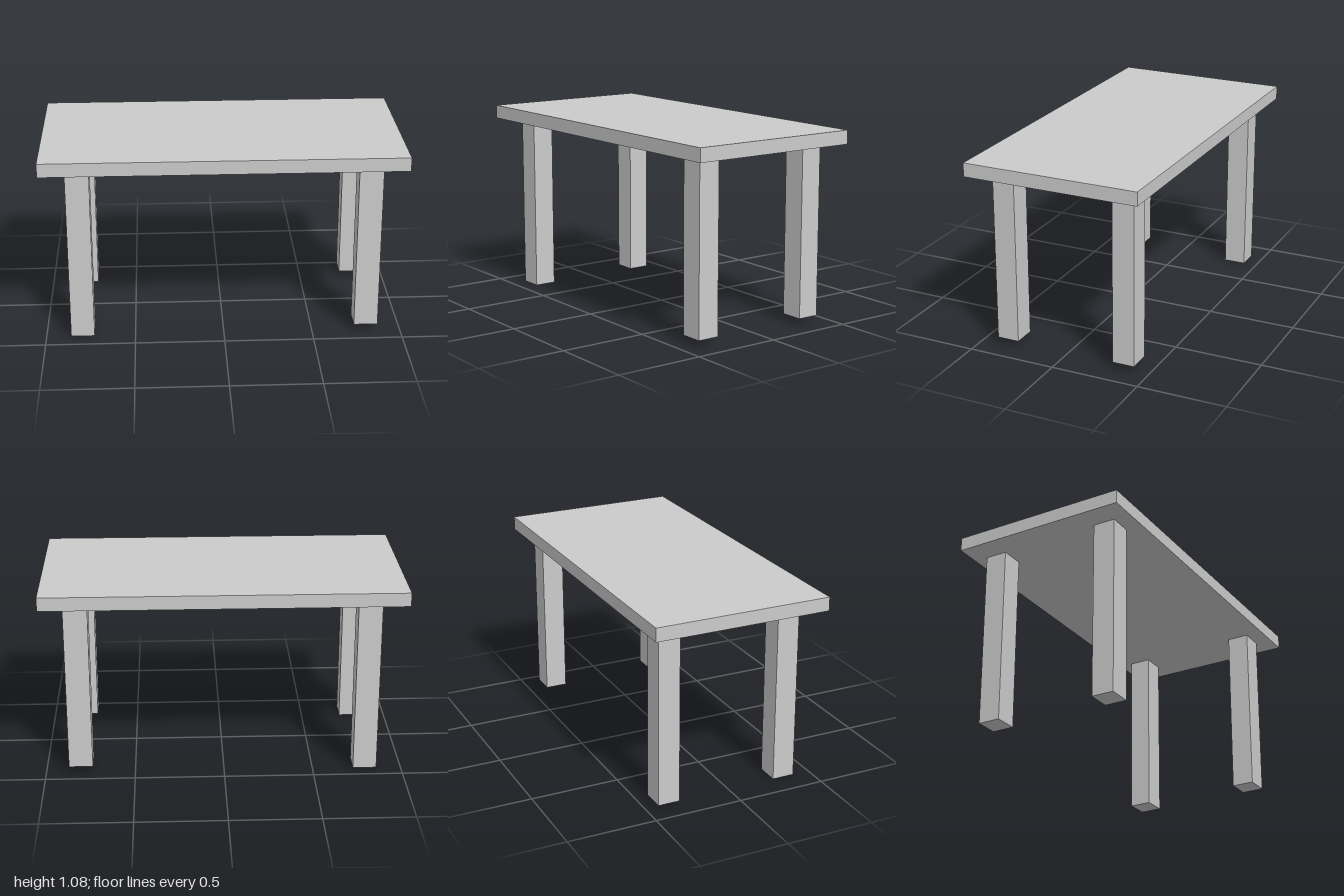
import * as THREE from 'three';

const material = new THREE.MeshStandardMaterial({ color: 0xcccccc, flatShading: true });

// Box given by its lower and upper bounds
function addBox(group, name, [x0, y0, z0], [x1, y1, z1]) {
  const mesh = new THREE.Mesh(new THREE.BoxGeometry(x1 - x0, y1 - y0, z1 - z0), material);
  mesh.position.set((x0 + x1) / 2, (y0 + y1) / 2, (z0 + z1) / 2);
  mesh.name = name;
  group.add(mesh);
}

export function createModel() {
  const table = new THREE.Group();
  table.name = 'table';

  const underside = 1.003;
  addBox(table, 'tableTop', [-1, underside, -0.5], [1, 1.08, 0.5]);

  // Legs: the pair on the left is slightly shorter
  const sides = [
    { name: 'Right', x0: -0.862, x1: -0.73, foot: 0 },
    { name: 'Left', x0: 0.738, x1: 0.872, foot: 0.036 },
  ];
  const rows = [
    { name: 'front', z0: 0.277, z1: 0.403 },
    { name: 'back', z0: -0.422, z1: -0.297 },
  ];
  for (const s of sides) {
    for (const r of rows) {
      addBox(table, `${r.name}${s.name}Leg`, [s.x0, s.foot, r.z0], [s.x1, underside, r.z1]);
    }
  }
  return table;
}
